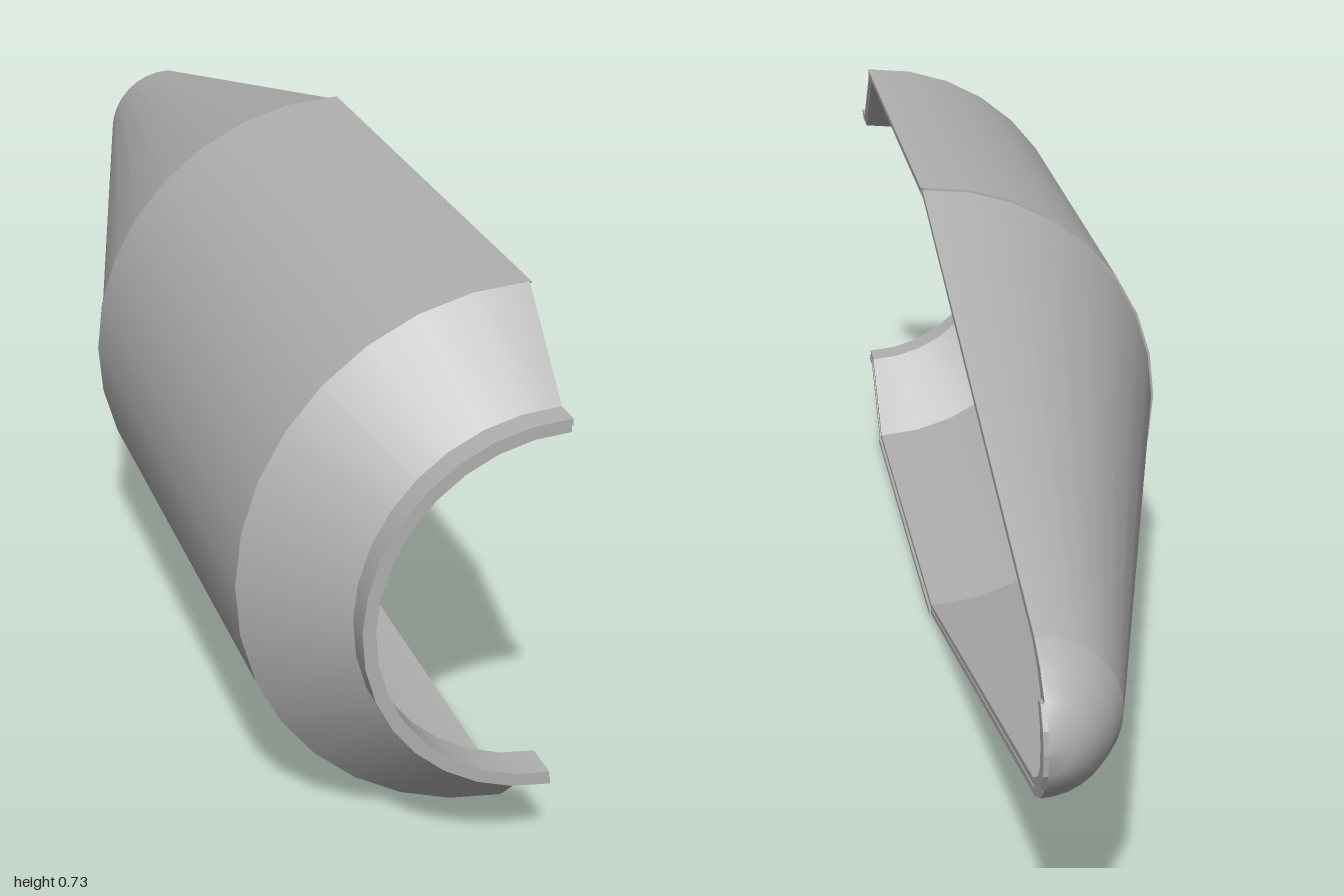
import * as THREE from 'three';

const AXIS_X = 0.177, AXIS_Y = 0.3645;
const SEGMENTS = 16;

// Half-shell profiles as [radius, z], nose tip first; both have matching points
const OUTER = [
  [0, -1], [0.03, -0.997], [0.058, -0.98], [0.087, -0.95], [0.108, -0.908],
  [0.36, 0.095], [0.3635, 0.095], [0.3635, 0.85], [0.25, 0.965], [0.25, 1],
];
const INNER = [
  [0, -0.957], [0.026, -0.954], [0.05, -0.942], [0.074, -0.92], [0.093, -0.89],
  [0.345, 0.1], [0.3455, 0.1], [0.3455, 0.835], [0.233, 0.95], [0.233, 1],
];
const MIDDLE = OUTER.map(([r, z], i) => [(r + INNER[i][0]) / 2, (z + INNER[i][1]) / 2]);

export function createModel() {
  const model = new THREE.Group();
  model.name = 'fairingHalf';
  const shellGrey = new THREE.MeshStandardMaterial({ color: 0xb0b0b0 });
  shellGrey.name = 'shell grey';

  const add = (name, geometry, x = AXIS_X) => {
    const mesh = new THREE.Mesh(geometry, shellGrey);
    mesh.name = name;
    mesh.position.set(x, AXIS_Y, 0);
    model.add(mesh);
  };

  // Half revolution about the z axis, smooth along the given points
  const revolve = (name, points) => {
    const profile = points.map(([r, z]) => new THREE.Vector2(r, z));
    add(name, new THREE.LatheGeometry(profile, SEGMENTS, Math.PI, Math.PI).rotateX(Math.PI / 2));
  };

  // Separate sections keep the joints between them sharp
  const sections = [
    ['Nose', 0, 4], ['Cone', 4, 5], ['Shoulder', 5, 6],
    ['Barrel', 6, 7], ['Taper', 7, 8], ['Collar', 8, 9],
  ];
  for (const [name, from, to] of sections) {
    revolve('outer' + name, OUTER.slice(from, to + 1));
    revolve('inner' + name, INNER.slice(from, to + 1).reverse());
  }
  revolve('collarRimOuter', [OUTER[9], MIDDLE[9]]);
  revolve('collarRimInner', [MIDDLE[9], INNER[9]]);

  // Flat band between two profiles, on the upper (1) or lower (-1) half
  const band = (a, b, side) => new THREE.Shape(
    [...a, ...[...b].reverse()].map(([r, z]) => new THREE.Vector2(-z, r * side)));

  for (const side of [1, -1]) {
    const half = side > 0 ? 'upper' : 'lower';
    // Cut face of the wall
    add(half + 'SplitFace', new THREE.ShapeGeometry(band(OUTER, INNER, side)).rotateY(Math.PI / 2));

    // Raised sealing lips on the outer half of the wall
    const lips = [['NoseLip', 0, 2, 0.0065], ['ConeLip', 2, 5, 0.0015],
      ['BarrelLip', 6, 7, 0.004], ['CollarLip', 7, 9, 0.0015]];
    for (const [name, from, to, depth] of lips) {
      const shape = band(OUTER.slice(from, to + 1), MIDDLE.slice(from, to + 1), side);
      const lip = new THREE.ExtrudeGeometry(shape, { depth, bevelEnabled: false });
      add(half + name, lip.rotateY(Math.PI / 2));
    }
  }
  return model;
}
